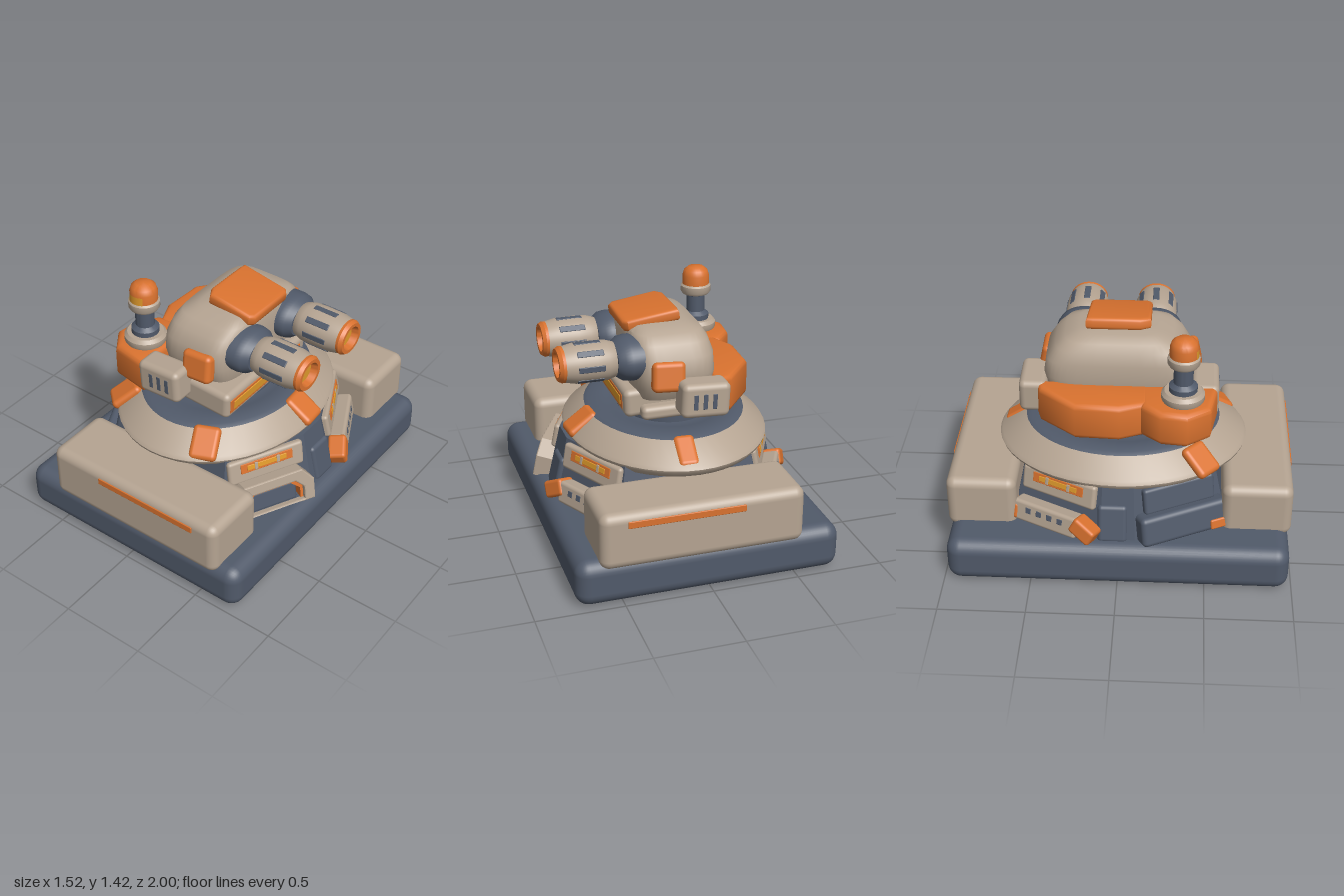
import * as THREE from 'three';
import { toCreasedNormals } from 'three/addons/utils/BufferGeometryUtils.js';
import { RoundedBoxGeometry } from 'three/addons/geometries/RoundedBoxGeometry.js';

const material = (name, color) => Object.assign(new THREE.MeshStandardMaterial({ color }), { name });

export function createModel() {
  const beige = material('beige armour', 0xb5a492);
  const dark = material('slate grey', 0x515a6a);
  const orange = material('orange', 0xd9722f);
  const amber = material('amber glow', 0xe09a2c);
  const model = new THREE.Group();
  model.name = 'turret';

  const add = (parent, name, geo, mat, x = 0, y = 0, z = 0) => {
    const mesh = new THREE.Mesh(geo, mat);
    mesh.name = name;
    mesh.position.set(x, y, z);
    parent.add(mesh);
    return mesh;
  };
  const group = (parent, name, x = 0, y = 0, z = 0) => {
    const g = new THREE.Group();
    g.name = name;
    g.position.set(x, y, z);
    g.rotation.order = 'YXZ';
    parent.add(g);
    return g;
  };
  const rbox = (w, h, d, r = 0.02) => new RoundedBoxGeometry(w, h, d, 4, Math.min(r, w / 2.01, h / 2.01, d / 2.01));
  const lathe = (pts) => toCreasedNormals(
    new THREE.LatheGeometry(pts.map(([r, y]) => new THREE.Vector2(r, y)), 48), 0.6);
  // Solid through equal-length rings of [x, y, z], lowest ring first
  const loft = (rings, crease) => {
    const n = rings[0].length, pos = rings.flat(2), idx = [], base = rings.length * n;
    for (let i = 0; i < rings.length - 1; i++) for (let j = 0; j < n; j++) {
      const a = i * n + j, b = i * n + (j + 1) % n;
      idx.push(a, a + n, b, a + n, b + n, b);
    }
    [rings[0], rings[rings.length - 1]].forEach((ring, k) => {
      for (let c = 0; c < 3; c++) pos.push(ring.reduce((s, p) => s + p[c], 0) / n);
      const off = k ? base - n : 0;
      for (let j = 0; j < n; j++) {
        const a = off + j, b = off + (j + 1) % n;
        idx.push(base + k, k ? b : a, k ? a : b);
      }
    });
    const geo = new THREE.BufferGeometry();
    geo.setAttribute('position', new THREE.Float32BufferAttribute(pos, 3));
    geo.setIndex(idx);
    return toCreasedNormals(geo, crease);
  };
  // Rounded vertical prism over an [x, z] outline
  const prism = (pts, y0, y1, bevel) => {
    const shape = new THREE.Shape(pts.map(([x, z]) => new THREE.Vector2(x, -z)));
    const geo = new THREE.ExtrudeGeometry(shape, {
      depth: y1 - y0 - 2 * bevel, bevelThickness: bevel, bevelSize: bevel, bevelOffset: -bevel, bevelSegments: 3 });
    geo.rotateX(-Math.PI / 2).translate(0, y0 + bevel, 0);
    return toCreasedNormals(geo, 0.8);
  };

  // Ground slab and the two side blocks
  add(model, 'base slab', rbox(1.52, 0.27, 1.96, 0.08), dark, 0, 0.135, 0);
  for (const s of [1, -1]) {
    add(model, 'side block', rbox(1.16, 0.33, 0.405, 0.055), beige, 0.05, 0.385, s * 0.7925);
    add(model, 'block stripe', rbox(0.66, 0.04, 0.009, 0.004), orange, 0.15, 0.487, s * 0.9955);
  }

  // Tapered octagonal skirt
  const outline = [[0.67, 0.1], [0.42, 0.62], [-0.42, 0.62], [-0.67, 0.1],
    [-0.67, -0.1], [-0.42, -0.62], [0.42, -0.62], [0.67, -0.1]];
  add(model, 'skirt', loft([[0.25, 1], [0.6, 0.88]].map(([y, k]) => outline.map(([x, z]) => [x * k, y, z * k])), 0.3), dark);
  for (const s of [1, -1]) {
    const corner = group(model, 'skirt corner', s * 0.645, 0.25, -0.03);
    corner.rotation.set(-0.22, s * Math.PI / 2, 0);
    add(corner, 'corner armour', rbox(0.17, 0.23, 0.08, 0.025), dark, 0, 0.115, 0);
  }

  // Leaning details on the four diagonal skirt faces
  const arch = (w0, w1, h, t) => {
    const trace = (path, a, b, y) => path.moveTo(-a, 0).lineTo(a, 0).lineTo(a, y * 0.6).lineTo(b, y).lineTo(-b, y).lineTo(-a, y * 0.6);
    const shape = trace(new THREE.Shape(), w0, w1, h);
    shape.holes.push(trace(new THREE.Path(), w0 - t, w1 - t * 0.8, h - t));
    return shape;
  };
  const diagonal = (sx, sz) => {
    const g = group(model, 'skirt face', sx * 0.545, 0.25, sz * 0.36);
    g.rotation.set(-0.2, Math.atan2(sx * 0.894, sz * 0.447), 0);
    return g;
  };
  for (const [sx, sz] of [[1, 1], [1, -1], [-1, -1]]) {
    const g = diagonal(sx, sz), inward = sx * sz;
    add(g, 'upper panel', rbox(0.48, 0.15, 0.05), beige, 0, 0.27, 0);
    add(g, 'window frame', rbox(0.33, 0.06, 0.008, 0.003), orange, 0, 0.29, 0.026);
    add(g, 'window', rbox(0.25, 0.032, 0.008, 0.003), amber, 0, 0.29, 0.03);
    for (const x of [-0.07, 0.07]) add(g, 'window bar', rbox(0.02, 0.045, 0.008, 0.003), beige, x, 0.29, 0.033);
    if (sx * sz > 0 && sx > 0) {
      const bevel = { bevelSize: 0.008, bevelThickness: 0.008, bevelSegments: 2 };
      add(g, 'arch', new THREE.ExtrudeGeometry(arch(0.25, 0.18, 0.2, 0.05), { depth: 0.09, ...bevel }), beige, 0, 0, 0);
      add(g, 'arch lining', new THREE.ExtrudeGeometry(arch(0.2, 0.135, 0.15, 0.025), { depth: 0.07, bevelEnabled: false }), orange, 0, 0, 0);
      add(g, 'arch door', rbox(0.32, 0.13, 0.08), dark, 0, 0.065, 0.02);
    } else {
      add(g, 'vent panel', rbox(0.42, 0.13, 0.1), beige, -inward * 0.04, 0.08, 0.04);
      for (let i = 0; i < 4; i++)
        add(g, 'vent hole', rbox(0.035, 0.035, 0.008, 0.003), dark, -inward * 0.04 - 0.105 + i * 0.07, 0.095, 0.089);
      const wedge = add(g, 'orange wedge', rbox(0.15, 0.1, 0.11), orange, inward * 0.21, 0.08, 0.045);
      wedge.rotation.z = inward * -0.45;
      if (sx < 0) add(g, 'orange end', rbox(0.08, 0.1, 0.11), orange, -inward * 0.25, 0.07, 0.04);
    }
  }
  const fender = diagonal(-1, 1);
  add(fender, 'fender', rbox(0.54, 0.18, 0.16, 0.03), dark, 0, 0.09, 0.01);
  add(fender, 'upper fender', rbox(0.44, 0.16, 0.06, 0.02), dark, 0, 0.25, 0);
  add(fender, 'fender trim', rbox(0.1, 0.06, 0.03, 0.01), orange, 0.2, 0.04, 0.085);

  // Oval turntable dish, stretched along z
  const dish = group(model, 'turntable', -0.02);
  dish.scale.x = 0.81;
  add(dish, 'dish', lathe([[0.6, 0.54], [0.69, 0.56], [0.725, 0.595], [0.73, 0.61], [0.715, 0.63], [0.57, 0.725]]), beige);
  add(dish, 'turntable ring', lathe([[0.57, 0.725], [0.54, 0.738], [0.42, 0.738], [0.4, 0.73], [0.34, 0.73], [0.34, 0.77], [0.31, 0.79], [0.28, 0.83], [0, 0.83]]), dark);
  for (const [x, z, w] of [[0.235, 0.55, 0.16], [0.035, -0.61, 0.12], [0.495, -0.04, 0.16], [-0.42, 0.46, 0.16]]) {
    const pad = add(model, 'dish pad', rbox(w, 0.06, 0.2, 0.028), orange, x, 0.672, z);
    pad.rotation.order = 'YXZ';
    pad.rotation.set(0.6, Math.atan2(x, z), 0);
  }

  // Head shell: rounded rectangles stacked upward
  const head = group(model, 'head');
  const soft = (v) => Math.sign(v) * Math.abs(v) ** 0.42;
  const rings = [[0.9, -0.2, 0.23, -0.39, 0.35], [0.97, -0.22, 0.25, -0.43, 0.38], [1.05, -0.23, 0.255, -0.45, 0.4],
    [1.15, -0.225, 0.255, -0.435, 0.39], [1.22, -0.205, 0.25, -0.385, 0.345], [1.265, -0.175, 0.24, -0.33, 0.29],
    [1.29, -0.1, 0.2, -0.25, 0.21], [1.3, -0.03, 0.1, -0.15, 0.12]].map(([y, x0, x1, z0, z1]) =>
    Array.from({ length: 40 }, (_, i) => {
      const t = (i + 0.5) / 40 * Math.PI * 2;
      return [(x0 + x1) / 2 + soft(Math.cos(t)) * (x1 - x0) / 2, y, (z0 + z1) / 2 + soft(Math.sin(t)) * (z1 - z0) / 2];
    }));
  add(head, 'head shell', loft(rings, 0.8), beige);
  add(head, 'head floor', rbox(0.5, 0.08, 0.8, 0.03), beige, -0.03, 0.825, 0);

  // Jaw with glowing slot
  const jaw = group(head, 'jaw', 0.05, 0.88, 0.05);
  jaw.rotation.z = -0.05;
  add(jaw, 'jaw block', rbox(0.51, 0.165, 0.77, 0.035), beige);
  add(jaw, 'slot frame', rbox(0.009, 0.09, 0.68, 0.004), orange, 0.254, 0, 0.015);
  add(jaw, 'slot glow', rbox(0.009, 0.055, 0.62, 0.004), amber, 0.258, 0, 0.015);

  // Roof plate
  const roof = add(head, 'roof plate', prism([[-0.16, -0.19], [0.14, -0.18], [0.165, -0.15], [0.165, 0.15], [0.14, 0.18], [-0.13, 0.18], [-0.165, 0.12], [-0.165, -0.15]], -0.035, 0.035, 0.02), orange, 0.105, 1.305, -0.02);
  roof.rotation.z = -0.15;

  // Cheek pads and vent boxes on both flanks
  for (const [s, cheekZ, boxZ] of [[1, 0.405, 0.475], [-1, -0.44, -0.505]]) {
    const cheek = add(head, 'cheek pad', rbox(0.19, 0.17, 0.08, 0.03), orange, 0.085, 1.06, cheekZ);
    cheek.rotation.set(s * -0.2, 0, 0.06);
    const box = group(head, 'vent box', -0.095, 0.945, boxZ);
    box.rotation.z = 0.05;
    add(box, 'vent housing', rbox(0.28, 0.2, 0.16, 0.035), beige);
    for (let i = -1; i <= 1; i++)
      add(box, 'vent slot', rbox(0.026, 0.09, 0.008, 0.003), dark, 0.01 + i * 0.055, 0, s * 0.078);
  }

  // Twin barrels pointing along +x
  for (const z of [0.175, -0.24]) {
    const gun = group(head, 'barrel', 0, 1.122, z);
    const turn = (name, pts, mat, stretch) => {
      const part = add(gun, name, lathe(pts), mat);
      part.rotation.z = -Math.PI / 2;
      part.scale.z = stretch;
    };
    turn('barrel collar', [[0.127, 0.2], [0.127, 0.27], [0.12, 0.31], [0.095, 0.345], [0, 0.345]], dark, 1.3);
    turn('barrel jacket', [[0.085, 0.325], [0.095, 0.335], [0.112, 0.39], [0.115, 0.46], [0.113, 0.57], [0.1, 0.635], [0.08, 0.635]], beige, 1.1);
    turn('muzzle', [[0.1, 0.63], [0.102, 0.65], [0.09, 0.67], [0.07, 0.67], [0.06, 0.625]], orange, 1.1);
    turn('muzzle glow', [[0.065, 0.63], [0, 0.63]], amber, 1.1);
    const slots = group(gun, 'barrel slots');
    slots.scale.z = 1.1;
    for (let i = 0; i < 8; i++) {
      const a = i / 8 * Math.PI * 2;
      const slot = add(slots, 'barrel slot', rbox(0.15, 0.009, 0.034, 0.004), dark, 0.495, Math.cos(a) * 0.112, Math.sin(a) * 0.112);
      slot.rotation.x = a;
    }
  }

  // Rear armour and beacon pod
  add(head, 'rear armour', prism([[-0.18, -0.49], [-0.28, -0.46], [-0.45, -0.25], [-0.46, 0], [-0.39, 0.16], [-0.18, 0.16]], 0.81, 1.03, 0.03), orange);
  add(head, 'beacon pod', prism([[-0.2, 0.1], [-0.42, 0.12], [-0.51, 0.23], [-0.525, 0.38], [-0.43, 0.51], [-0.2, 0.55]], 0.82, 1.03, 0.035), orange);
  const beacon = group(head, 'beacon', -0.34, 0, 0.35);
  add(beacon, 'beacon foot', lathe([[0, 1.02], [0.11, 1.02], [0.122, 1.04], [0.122, 1.07], [0.105, 1.09], [0, 1.09]]), beige);
  add(beacon, 'beacon post', lathe([[0.08, 1.08], [0.08, 1.12], [0.055, 1.14], [0.055, 1.24], [0.07, 1.26]]), dark);
  add(beacon, 'beacon collar', lathe([[0, 1.25], [0.08, 1.25], [0.09, 1.265], [0.09, 1.3], [0.08, 1.31], [0, 1.31]]), beige);
  add(beacon, 'beacon lamp', lathe([[0.08, 1.3], [0.08, 1.365], [0.07, 1.395], [0.045, 1.415], [0, 1.42]]), orange);
  add(beacon, 'lamp glow', new THREE.CylinderGeometry(0.0825, 0.0825, 0.05, 24, 1, true, -0.6, 1.2), amber, 0, 1.335, 0);
  return model;
}
